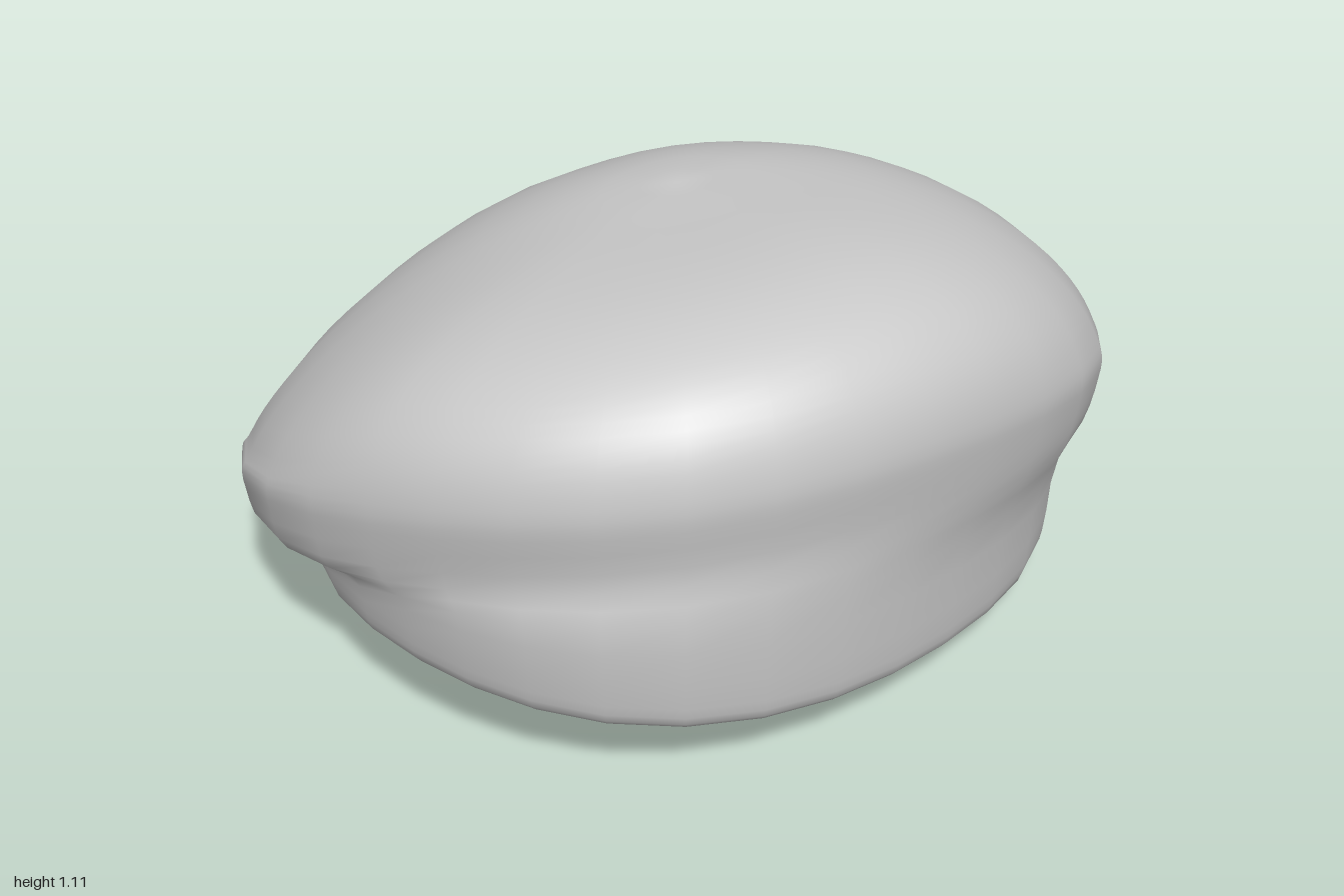
import * as THREE from 'three';

const SEG = 32, ROWS = 36;
const baseY = (z) => 0.125 + 0.138 * z; // tilted plane the headband rests on

// Point on the headband oval, scaled by s, raised by lift above the base plane
function band(u, v, s, lift) {
  const k = s * (1 + 0.05 * (2 * u * v) ** 2);
  const z = 0.94 * k * v;
  return new THREE.Vector3(0.04 + 0.775 * k * u, Math.max(0, baseY(z) + lift), z);
}

// Point on the slanted crown at relative radius r, raised by lift
function crown(u, v, r, lift) {
  const s = 2 * u * v;
  const k = r * (1 + 0.05 * s * s - 0.04 * s); // fuller on one diagonal
  const slant = 0.27 * u * r ** 1.5 + 0.185 * v * r ** 2.2;
  return new THREE.Vector3(0.885 * k * u, 0.5 + slant + lift, k * v);
}

// One meridian: band hem, wall, tucked crease, overhanging lip, domed top
function meridian(angle) {
  const u = Math.cos(angle), v = Math.sin(angle);
  const rise = 0.5 + 0.27 * u + 0.185 * v - baseY(0.94 * v);
  const low = THREE.MathUtils.smoothstep(-0.78 * u - 0.3 * v, 0.08, 0.75); // drooping side
  const wedge = Math.max(0, -2 * u * v) ** 1.5 * (1 - 0.4 * u); // thinner corners
  const points = [
    band(u, v, 0.92, 0),
    band(u, v, 0.98, 0.03),
    band(u, v, 1, 0.09),
    band(u, v, 1.02 - 0.07 * low, Math.max(0.16, rise * 0.5)),
    crown(u, v, 0.975 - 0.03 * low, -0.16 + 0.07 * low + 0.03 * wedge),
    crown(u, v, 0.996, -0.04),
    crown(u, v, 1, 0.02),
  ];
  for (const r of [0.985, 0.95, 0.89, 0.8, 0.65, 0.45, 0.22, 0]) {
    points.push(crown(u, v, r, 0.575 * (1 - r ** 2.3) ** (0.5 + 0.22 * wedge)));
  }
  return new THREE.CatmullRomCurve3(points).getPoints(ROWS);
}

// Joins the meridians into one smooth skin
function loft() {
  const positions = [], index = [];
  for (let i = 0; i < SEG; i++) {
    for (const p of meridian((i / SEG) * Math.PI * 2)) positions.push(p.x, p.y, p.z);
  }
  const n = ROWS + 1;
  for (let i = 0; i < SEG; i++) {
    const a = i * n, b = ((i + 1) % SEG) * n;
    for (let j = 0; j < ROWS; j++) {
      index.push(a + j, a + j + 1, b + j);
      if (j < ROWS - 1) index.push(a + j + 1, b + j + 1, b + j);
    }
  }
  const geometry = new THREE.BufferGeometry();
  geometry.setAttribute('position', new THREE.Float32BufferAttribute(positions, 3));
  geometry.setIndex(index);
  geometry.computeVertexNormals();
  // Share one upright normal at the pole
  const normal = geometry.attributes.normal;
  for (let i = 0; i < SEG; i++) normal.setXYZ(i * n + ROWS, 0, 1, 0);
  return geometry;
}

export function createModel() {
  const group = new THREE.Group();
  group.name = 'softCap';
  const material = new THREE.MeshStandardMaterial({ color: 0xcccccc, side: THREE.DoubleSide });

  const cap = new THREE.Mesh(loft(), material);
  cap.name = 'capBody';
  group.add(cap);

  // Flat underside closing the headband
  const disc = new THREE.CircleGeometry(1, SEG);
  disc.rotateX(Math.PI / 2);
  const pos = disc.attributes.position;
  for (let i = 1; i < pos.count; i++) {
    const p = band(pos.getX(i), pos.getZ(i), 0.92, 0);
    pos.setXYZ(i, p.x, p.y, p.z);
  }
  pos.setXYZ(0, 0.04, baseY(0), 0);
  disc.computeVertexNormals();
  const underside = new THREE.Mesh(disc, material);
  underside.name = 'underside';
  group.add(underside);

  return group;
}
